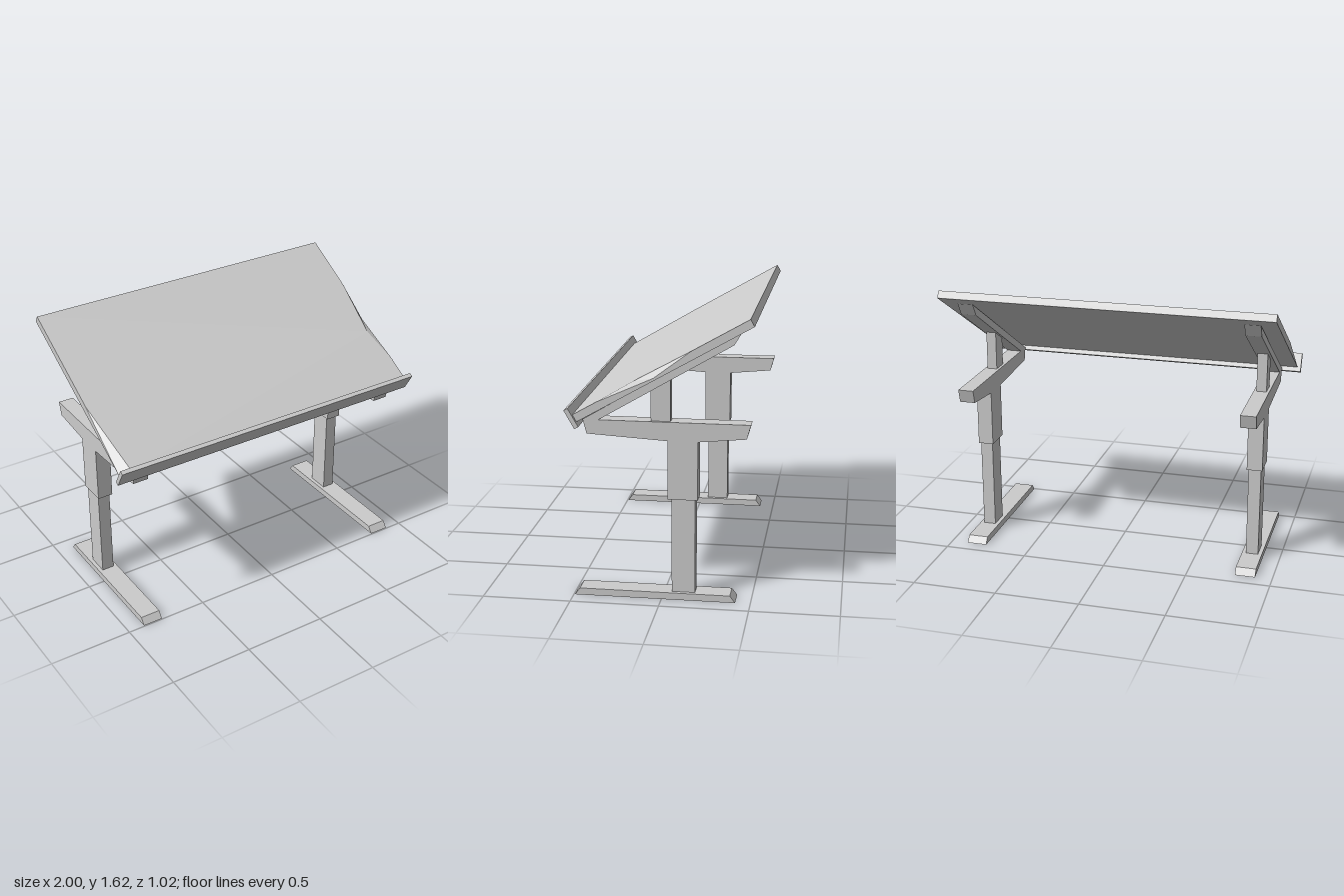
import * as THREE from 'three';

const material = new THREE.MeshStandardMaterial({ color: 0xcccccc, flatShading: true });

function part(name, geometry) {
  const mesh = new THREE.Mesh(geometry, material);
  mesh.name = name;
  return mesh;
}

// Side profile given as [z, y] points, extruded along x and centred on x = 0
function profile(name, points, width) {
  const shape = new THREE.Shape(points.map(([z, y]) => new THREE.Vector2(-z, y)));
  const geometry = new THREE.ExtrudeGeometry(shape, { depth: width, bevelEnabled: false });
  geometry.rotateY(Math.PI / 2).translate(-width / 2, 0, 0);
  return part(name, geometry);
}

function createLeg() {
  const leg = new THREE.Group();
  leg.add(
    profile('foot', [[0.495, 0], [-0.415, 0], [-0.385, 0.04], [0.465, 0.04]], 0.12),
    profile('innerColumn', [[-0.056, 0.04], [-0.187, 0.04], [-0.187, 0.6], [-0.056, 0.6]], 0.074),
    // Sleeve and cantilever arm form one T-shaped piece
    profile('sleeveAndArm', [
      [0.433, 1.024], [0.412, 0.944], [-0.035, 0.918], [-0.035, 0.585], [-0.202, 0.585],
      [-0.202, 0.918], [-0.468, 0.944], [-0.49, 1.024],
    ], 0.092),
    profile('tiltPost', [[0.058, 1.024], [-0.05, 1.024], [-0.05, 1.27], [0.058, 1.21]], 0.06),
    profile('tiltRail', [[0.433, 1.024], [0.345, 1.024], [-0.395, 1.459], [-0.442, 1.536]], 0.092),
  );
  return leg;
}

// Board with a worn right edge and a chipped front left corner; top lies at y = 0
function createBoard() {
  const x = 0.98, l = 0.55, t = -0.045;
  const p = {
    backLeft: [-x, 0, -l], backRight: [x, 0, -l], frontRight: [x, 0, l],
    chipSide: [-x, 0, 0.093], chipFront: [-0.92, 0, l],
    dentBack: [x, 0, -0.195], dentFront: [x, 0, 0.4], dentInner: [0.937, 0, 0.172], dentLow: [x, -0.032, 0.06],
    lowBL: [-x, t, -l], lowBR: [x, t, -l], lowFR: [x, t, l], lowFL: [-x, t, l],
  };
  // Each face is a fan around its first corner, counter-clockwise from outside
  const faces = [
    ['dentInner', 'dentBack', 'backRight', 'backLeft', 'chipSide', 'chipFront', 'frontRight', 'dentFront'],
    ['dentInner', 'dentFront', 'dentLow'],
    ['dentInner', 'dentLow', 'dentBack'],
    ['chipSide', 'lowFL', 'chipFront'],
    ['chipFront', 'lowFL', 'lowFR', 'frontRight'],
    ['chipSide', 'backLeft', 'lowBL', 'lowFL'],
    ['dentLow', 'dentFront', 'frontRight', 'lowFR', 'lowBR', 'backRight', 'dentBack'],
    ['backLeft', 'backRight', 'lowBR', 'lowBL'],
    ['lowFL', 'lowBL', 'lowBR', 'lowFR'],
  ];
  const positions = [];
  for (const face of faces) {
    for (let i = 1; i < face.length - 1; i++) {
      positions.push(...p[face[0]], ...p[face[i]], ...p[face[i + 1]]);
    }
  }
  const geometry = new THREE.BufferGeometry();
  geometry.setAttribute('position', new THREE.Float32BufferAttribute(positions, 3));
  geometry.computeVertexNormals();
  return part('board', geometry);
}

export function createModel() {
  const model = new THREE.Group();
  model.name = 'draftingTable';

  for (const [name, side] of [['leftLeg', 1], ['rightLeg', -1]]) {
    const leg = createLeg();
    leg.name = name;
    leg.position.x = side * 0.839;
    model.add(leg);
  }

  // Tilted top with a ledge along the front edge
  const top = new THREE.Group();
  top.name = 'tabletop';
  const ledge = part('frontLedge', new THREE.BoxGeometry(2, 0.117, 0.025));
  ledge.position.set(0, -0.0135, 0.5625);
  top.add(createBoard(), ledge);
  top.position.set(0, 1.3455, -0.0105);
  top.rotation.x = THREE.MathUtils.degToRad(29.7);
  model.add(top);

  return model;
}
